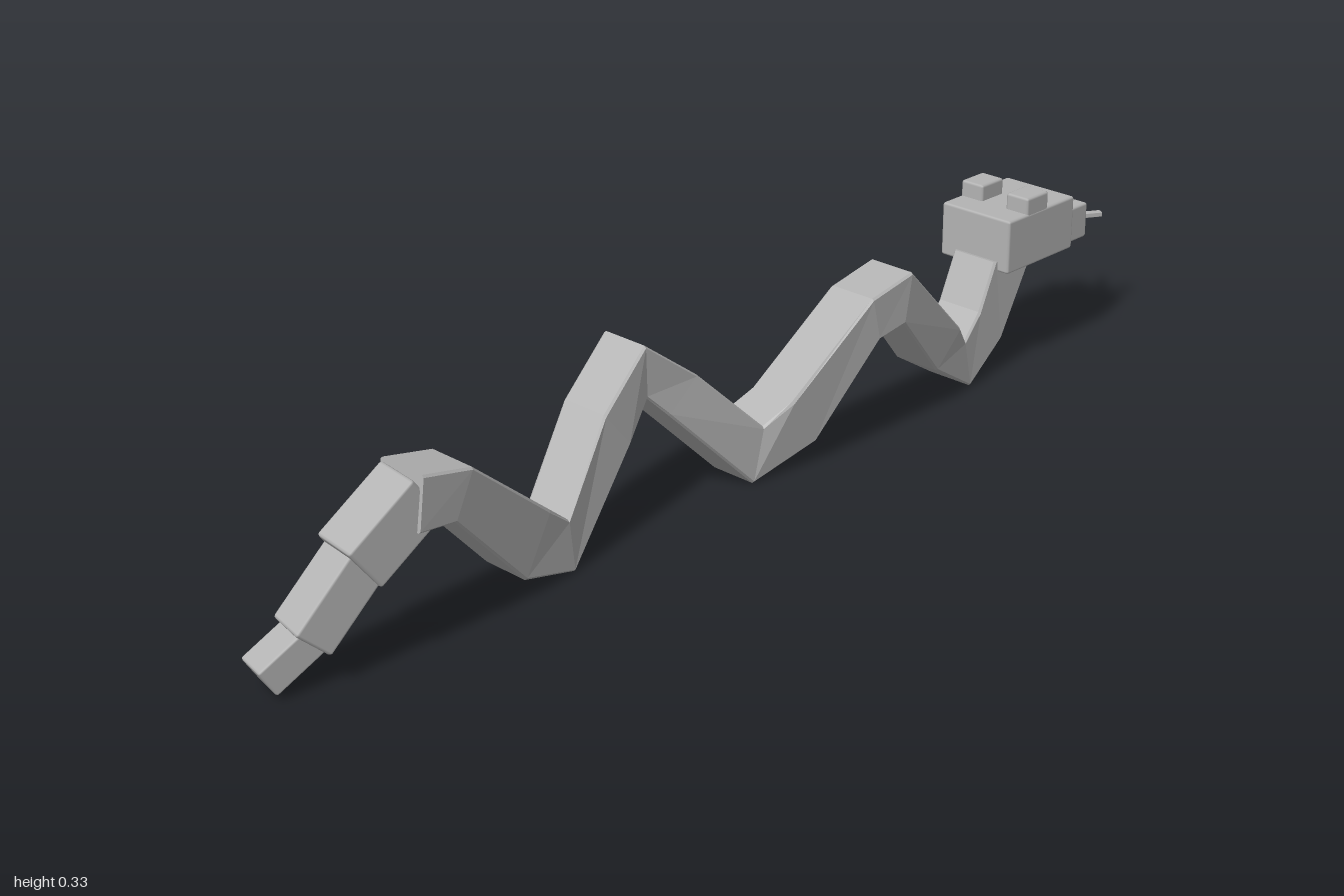
import * as THREE from 'three';
import { RoundedBoxGeometry } from 'three/addons/geometries/RoundedBoxGeometry.js';

const grey = new THREE.MeshStandardMaterial({ color: 0xb3b3b3 });
grey.name = 'plain grey';

// Lightly bevelled box, placed by its limits on each axis
function block(name, x0, x1, y0, y1, z0, z1, bevel = 0.005) {
  const geo = new RoundedBoxGeometry(x1 - x0, y1 - y0, z1 - z0, 1, bevel);
  const mesh = new THREE.Mesh(geo, grey);
  mesh.name = name;
  mesh.position.set((x0 + x1) / 2, (y0 + y1) / 2, (z0 + z1) / 2);
  return mesh;
}

// Bevelled box running from point a to point b
function link(name, a, b, width, height, bevel) {
  const from = new THREE.Vector3(...a);
  const to = new THREE.Vector3(...b);
  const geo = new RoundedBoxGeometry(width, height, from.distanceTo(to), 1, bevel);
  const mesh = new THREE.Mesh(geo, grey);
  mesh.name = name;
  mesh.position.copy(from).lerp(to, 0.5);
  mesh.lookAt(to);
  return mesh;
}

// Joints from neck to tail: [x, back z, back y, belly z, belly y]
const joints = [
  [-0.012, -0.645, 0.22, -0.755, 0.205],
  [-0.007, -0.6, 0.137, -0.668, 0.065],
  [0, -0.552, 0.096, -0.572, 0.003],
  [0.022, -0.51, 0.142, -0.445, 0.08],
  [0.044, -0.343, 0.302, -0.326, 0.212],
  [0.04, -0.246, 0.28, -0.265, 0.2],
  [0.01, -0.08, 0.134, -0.14, 0.042],
  [-0.01, -0.03, 0.1, -0.005, 0.003],
  [-0.042, 0.095, 0.225, 0.16, 0.173],
  [-0.052, 0.202, 0.306, 0.2, 0.214],
  [-0.035, 0.31, 0.225, 0.255, 0.157],
  [0.001, 0.425, 0.097, 0.415, 0.003],
  [0.015, 0.475, 0.138, 0.53, 0.037],
  [0.042, 0.647, 0.28, 0.684, 0.203],
  [0.046, 0.743, 0.302, 0.755, 0.212],
];

// Square body with bevelled edges, mitred at every joint
function makeBody() {
  const w = 0.048, c = 0.004, v = 0.04;
  const section = [[-w + c, 0], [w - c, 0], [w, v], [w, 1 - v],
    [w - c, 1], [-w + c, 1], [-w, 1 - v], [-w, v]];
  const n = section.length;
  const rings = joints.map(([x, zu, yu, zd, yd]) => section.map(([dx, t]) =>
    [x + dx, yd + (yu - yd) * t, zd + (zu - zd) * t]));
  const pos = [];
  const tri = (...corners) => corners.forEach((p) => pos.push(...p));
  for (let i = 0; i < rings.length - 1; i++) {
    for (let k = 0; k < n; k++) {
      const m = (k + 1) % n;
      tri(rings[i][k], rings[i][m], rings[i + 1][k]);
      tri(rings[i][m], rings[i + 1][m], rings[i + 1][k]);
    }
  }
  const first = rings[0], last = rings[rings.length - 1];
  for (let k = 1; k < n - 1; k++) {
    tri(first[0], first[k + 1], first[k]);
    tri(last[0], last[k], last[k + 1]);
  }
  const geo = new THREE.BufferGeometry();
  geo.setAttribute('position', new THREE.Float32BufferAttribute(pos, 3));
  geo.computeVertexNormals();
  const mesh = new THREE.Mesh(geo, grey);
  mesh.name = 'body';
  return mesh;
}

export function createModel() {
  const model = new THREE.Group();
  model.name = 'snake';
  model.add(makeBody());

  // Tail: three shrinking links
  const tail = new THREE.Group();
  tail.name = 'tail';
  tail.add(
    link('tailBase', [0.046, 0.262, 0.725], [0.032, 0.178, 0.838], 0.088, 0.088, 0.005),
    link('tailMiddle', [0.034, 0.188, 0.82], [0.014, 0.08, 0.917], 0.076, 0.073, 0.005),
    link('tailTip', [0.016, 0.092, 0.89], [-0.004, 0.034, 0.984], 0.06, 0.053, 0.004),
  );

  // Head with snout and raised eyes
  const head = new THREE.Group();
  head.name = 'head';
  const mid = -0.018;
  head.add(block('skull', mid - 0.078, mid + 0.078, 0.2, 0.302, -0.845, -0.652));
  head.add(block('snout', mid - 0.061, mid + 0.061, 0.2, 0.268, -0.912, -0.835));
  for (const [name, side] of [['leftEye', 1], ['rightEye', -1]]) {
    const x = mid + side * 0.052;
    head.add(block(name, x - 0.025, x + 0.025, 0.29, 0.332, -0.766, -0.704));
  }

  // Forked tongue
  const tongue = new THREE.Group();
  tongue.name = 'tongue';
  tongue.add(link('tongueStem', [mid, 0.217, -0.9], [mid, 0.217, -0.95], 0.016, 0.009, 0.001));
  for (const [name, side] of [['leftFork', 1], ['rightFork', -1]]) {
    tongue.add(link(name, [mid, 0.217, -0.94], [mid + side * 0.034, 0.217, -0.995], 0.014, 0.009, 0.001));
  }
  head.add(tongue);

  model.add(tail, head);
  return model;
}
